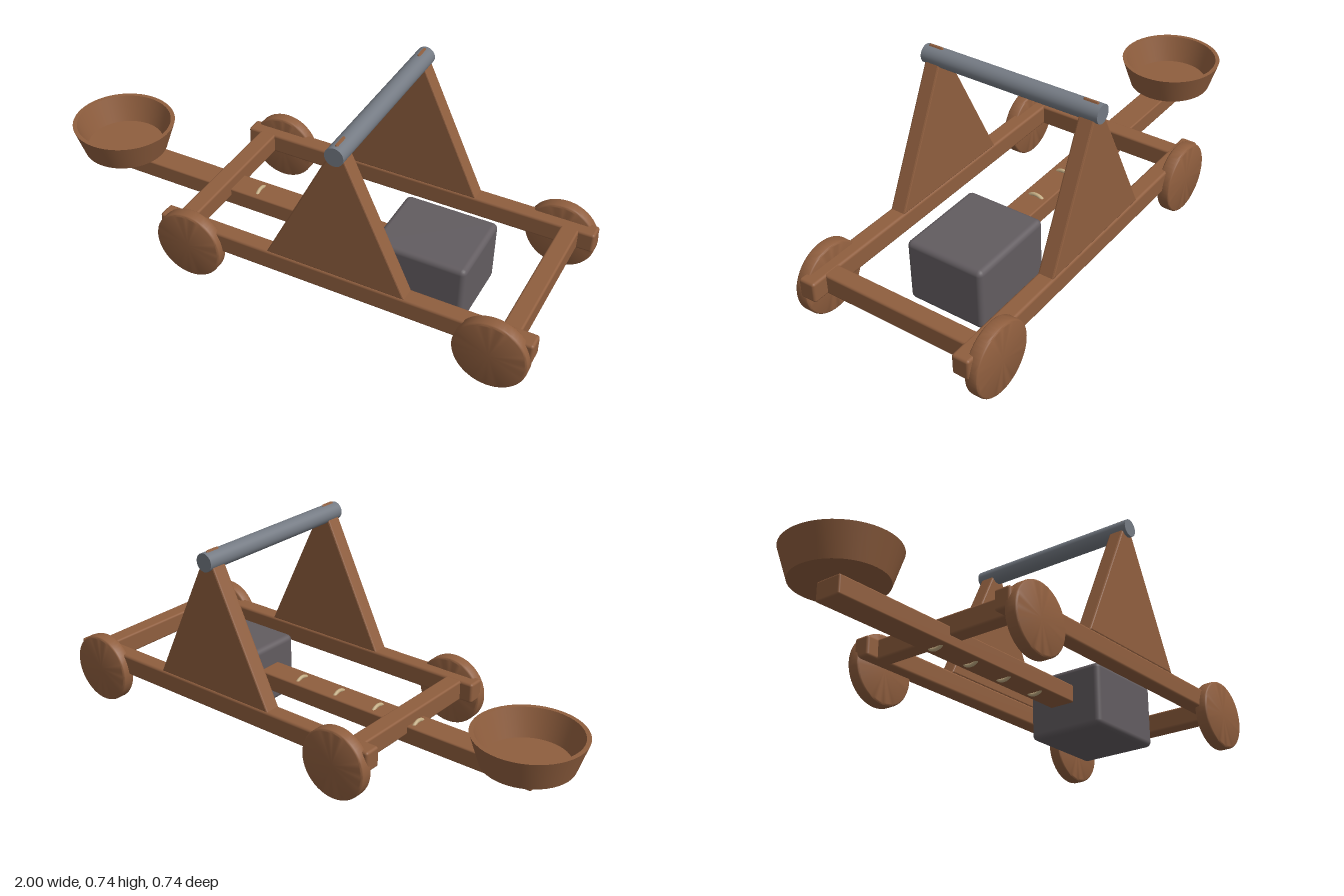
import * as THREE from 'three';
import { toCreasedNormals } from 'three/addons/utils/BufferGeometryUtils.js';
import { RoundedBoxGeometry } from 'three/addons/geometries/RoundedBoxGeometry.js';

const material = (color) => new THREE.MeshStandardMaterial({ color });

export function createModel() {
  const model = new THREE.Group();
  const wood = material(0x8f5e3e);
  const stone = material(0x625c60);
  const iron = material(0x747a83);
  const rope = material(0xc4ad83);

  const add = (name, geometry, mat, x = 0, y = 0, z = 0) => {
    const mesh = new THREE.Mesh(geometry, mat);
    mesh.name = name;
    mesh.position.set(x, y, z);
    model.add(mesh);
    return mesh;
  };

  // Softened block given by its extents on each axis
  const block = (name, mat, [x0, x1], [y0, y1], [z0, z1], r) =>
    add(name, new RoundedBoxGeometry(x1 - x0, y1 - y0, z1 - z0, 3, r), mat,
      (x0 + x1) / 2, (y0 + y1) / 2, (z0 + z1) / 2);

  const lathe = (points, segments = 48) => toCreasedNormals(
    new THREE.LatheGeometry(points.map(([r, y]) => new THREE.Vector2(r, y)), segments), 0.6);

  // Wheel disc with a rounded rim
  const wheelProfile = [[0, -0.025]];
  const rim = 0.01;
  for (const [cy, start] of [[-0.025 + rim, -90], [0.025 - rim, 0]]) {
    for (let i = 0; i <= 4; i++) {
      const a = THREE.MathUtils.degToRad(start + i * 22.5);
      wheelProfile.push([0.131 - rim + rim * Math.cos(a), cy + rim * Math.sin(a)]);
    }
  }
  wheelProfile.push([0, 0.025]);
  const wheelGeometry = lathe(wheelProfile).rotateX(Math.PI / 2);

  // Triangular side frame with bevelled edges
  const triangle = new THREE.Shape();
  triangle.moveTo(0.032, 0.21);
  triangle.lineTo(0.552, 0.21);
  triangle.lineTo(0.295, 0.744);
  triangle.lineTo(0.289, 0.744);
  triangle.closePath();
  const bevel = 0.006;
  const triangleGeometry = new THREE.ExtrudeGeometry(triangle, {
    depth: 0.06 - 2 * bevel, bevelThickness: bevel, bevelSize: bevel,
    bevelOffset: -bevel, bevelSegments: 2,
  }).translate(0, 0, -0.03 + bevel);

  // Base rails, wheels and side frames, mirrored
  for (const [side, s] of [['front', 1], ['back', -1]]) {
    const z = s > 0 ? [0.277, 0.342] : [-0.342, -0.277];
    block(side + 'Rail', wood, [-0.405, 1], [0.135, 0.212], z, 0.01);
    add(side + 'SideFrame', triangleGeometry, wood, 0, 0, s * 0.309);
    for (const x of [-0.277, 0.866]) add(side + 'Wheel', wheelGeometry, wood, x, 0.132, s * 0.344);
  }

  // Cross beams
  for (const x of [-0.322, 0.908]) {
    block('crossBeam', wood, [x - 0.033, x + 0.033], [0.135, 0.211], [-0.31, 0.31], 0.008);
  }

  // Pivot rod
  add('pivotRod', new THREE.CylinderGeometry(0.034, 0.034, 0.704, 32).rotateX(Math.PI / 2),
    iron, 0.292, 0.705, 0);

  // Throwing arm with rope bindings
  block('throwingArm', wood, [-0.85, 0.33], [0.1, 0.168], [-0.051, 0.051], 0.006);
  const ringGeometry = new THREE.TorusGeometry(0.04, 0.007, 10, 32).rotateY(Math.PI / 2);
  for (let i = 0; i < 4; i++) add('ropeBinding', ringGeometry, rope, -0.367 + i * 0.1765, 0.134, 0);

  // Hollow flared bucket
  add('bucket', lathe([[0, 0.168], [0.161, 0.168], [0.197, 0.279], [0.181, 0.279],
    [0.147, 0.18], [0, 0.18]]), wood, -0.803, 0, 0);

  // Counterweight
  block('counterweight', stone, [0.339, 0.69], [0, 0.242], [-0.154, 0.154], 0.02);

  return model;
}
